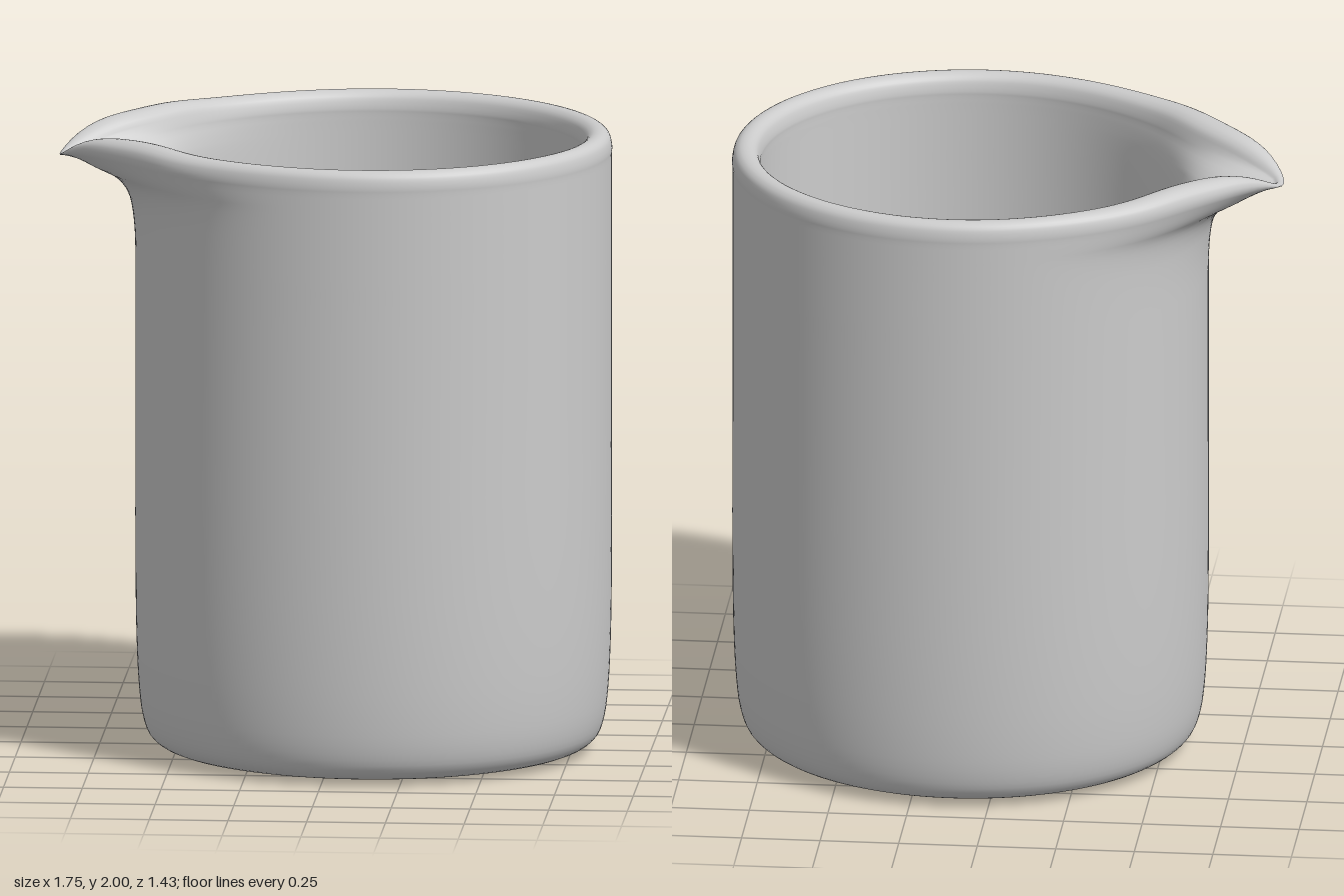
import * as THREE from 'three';

const RX = 0.755, RZ = 0.715, CX = 0.12; // body radii and axis position
const { smoothstep, lerp, clamp } = THREE.MathUtils;

// Wall section from base centre, up the outside, over the rim, down to the floor centre:
// [fraction of radius, height, share of the spout pull]
const SECTION = [
  [0, 0, 0], [0.4, 0, 0], [0.7, 0.002, 0], [0.82, 0.01, 0], [0.9, 0.025, 0], [0.945, 0.055, 0],
  [0.97, 0.11, 0], [0.985, 0.2, 0], [0.995, 0.35, 0], [1, 0.6, 0], [1, 1.1, 0], [1, 1.6, 0],
  [1, 1.7, 0.02], [1, 1.78, 0.08], [1, 1.84, 0.26], [1, 1.88, 0.62], [1, 1.92, 0.87],
  [1, 1.95, 0.98], [0.99, 1.975, 1], [0.965, 1.99, 1], [0.925, 1.99, 1], [0.898, 1.975, 1],
  [0.886, 1.95, 0.98], [0.884, 1.92, 0.8], [0.884, 1.88, 0.45], [0.884, 1.82, 0.17],
  [0.884, 1.72, 0.05], [0.884, 1.6, 0], [0.884, 1.1, 0], [0.884, 0.6, 0], [0.884, 0.25, 0],
  [0.878, 0.16, 0], [0.86, 0.12, 0], [0.82, 0.102, 0], [0.7, 0.1, 0], [0.4, 0.1, 0], [0, 0.1, 0],
];

// Moves one section point around the body, pulling it out into the spout near -x
function place(p, angle) {
  const deg = THREE.MathUtils.radToDeg(Math.min(angle, 2 * Math.PI - angle));
  const fade = 1 - smoothstep(deg, 35, 75);
  const outer = 0.245 * fade / (1 + (deg / 18) ** 2);
  const inner = 0.3 * fade / (1 + (deg / 11) ** 2);
  const inward = clamp((1 - p.x) / 0.116, 0, 1);
  const pull = clamp(p.z, 0, 1) * lerp(outer, inner, inward);
  // The rim dips at the tip and swells slightly on both sides of it
  const lift = 0.01 * Math.exp(-(((deg - 28) / 12) ** 2)) - 0.09 * Math.exp(-((deg / 8) ** 2));
  return [
    CX - (p.x * RX + pull) * Math.cos(angle),
    Math.max(0, p.y + lift * smoothstep(p.y, 1.88, 2.01)),
    (p.x * RZ + pull) * Math.sin(angle),
  ];
}

function jugGeometry(segments = 192) {
  const curve = new THREE.CatmullRomCurve3(SECTION.map((p) => new THREE.Vector3(...p)));
  const rows = curve.getPoints((SECTION.length - 1) * 3);
  const positions = [], index = [];
  rows.forEach((p, i) => {
    for (let j = 0; j < segments; j++) {
      positions.push(...place(p, (j / segments) * Math.PI * 2));
      if (i === rows.length - 1) continue;
      const next = (j + 1) % segments;
      const a = i * segments + j, b = i * segments + next;
      const c = b + segments, d = a + segments;
      if (i > 0) index.push(a, b, c);
      else index.push(a, c, d);
      if (i > 0 && i < rows.length - 2) index.push(a, c, d);
    }
  });
  const geometry = new THREE.BufferGeometry();
  geometry.setAttribute('position', new THREE.Float32BufferAttribute(positions, 3));
  geometry.setIndex(index);
  geometry.computeVertexNormals();
  return geometry;
}

export function createModel() {
  const group = new THREE.Group();
  group.name = 'pouringJug';
  // Hollow body, rim and spout in one continuous wall
  const body = new THREE.Mesh(jugGeometry(), new THREE.MeshStandardMaterial({ color: 0xcccccc }));
  body.name = 'jugBodyWithSpout';
  group.add(body);
  return group;
}
